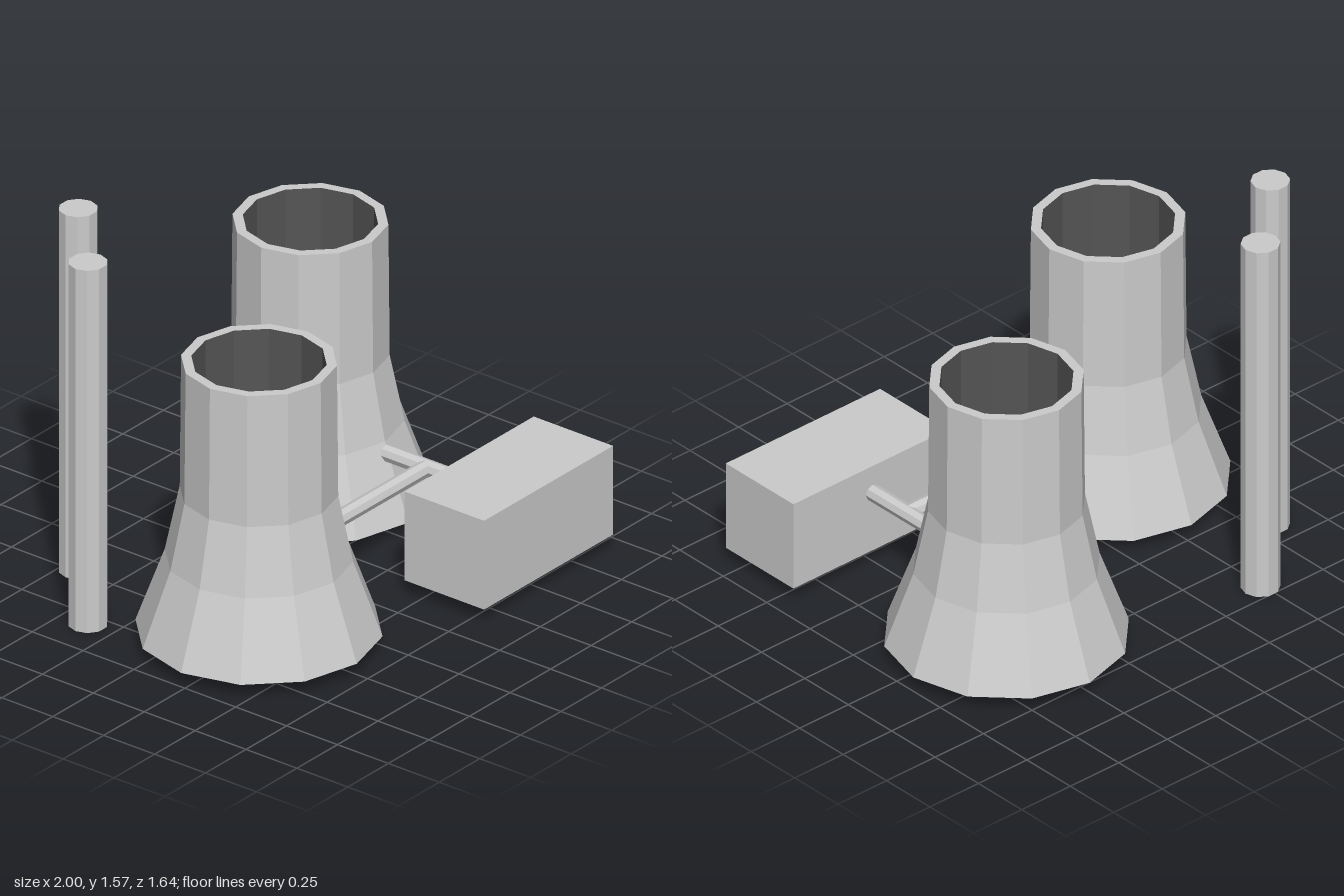
import * as THREE from 'three';

const grey = new THREE.MeshStandardMaterial({ color: 0xcccccc, flatShading: true, side: THREE.DoubleSide });
const dark = new THREE.MeshStandardMaterial({ color: 0x555555, flatShading: true, side: THREE.DoubleSide });

function part(name, geometry, material, x, y, z) {
  const mesh = new THREE.Mesh(geometry, material);
  mesh.name = name;
  mesh.position.set(x, y, z);
  return mesh;
}

function lathe(points, sides) {
  return new THREE.LatheGeometry(points.map(([r, y]) => new THREE.Vector2(r, y)), sides);
}

// Flared cooling tower, open below, with a dark well inside
function coolingTower(name, x, z) {
  const tower = new THREE.Group();
  tower.name = name;
  tower.position.set(x, 0, z);
  tower.add(
    part('towerShell', lathe([[0.48, 0.06], [0.366, 0.375], [0.308, 0.655], [0.303, 1.22], [0.263, 1.22]], 12), grey, 0, 0, 0),
    part('towerWell', lathe([[0, 0.375], [0.263, 0.375], [0.263, 1.22]], 12), dark, 0, 0, 0)
  );
  return tower;
}

// Tall ten-sided chimney, capped on top and open below
function chimney(name, x, z) {
  const mesh = part(name, lathe([[0.077, 0], [0.077, 1.57], [0, 1.57]], 10), grey, x, 0, z);
  mesh.rotation.y = Math.PI / 2;
  return mesh;
}

// Straight pipe between two points
function pipe(name, from, to) {
  const a = new THREE.Vector3(...from), b = new THREE.Vector3(...to);
  const mesh = part(name, new THREE.CylinderGeometry(0.034, 0.034, a.distanceTo(b), 8), grey, 0, 0, 0);
  mesh.position.copy(a).lerp(b, 0.5);
  mesh.quaternion.setFromUnitVectors(new THREE.Vector3(0, 1, 0), b.sub(a).normalize());
  return mesh;
}

// Plain building block without a floor
function building() {
  const geometry = new THREE.BoxGeometry(0.795, 0.385, 0.39);
  const index = Array.from(geometry.index.array);
  index.splice(18, 6); // drop the bottom face
  geometry.setIndex(index);
  return part('building', geometry, grey, 0.527, 0.257, 0.625);
}

export function createModel() {
  const model = new THREE.Group();
  model.name = 'powerPlant';
  model.add(
    coolingTower('rightTower', -0.52, 0.232),
    coolingTower('leftTower', 0.517, -0.342),
    chimney('outerChimney', -0.815, -0.373),
    chimney('innerChimney', -0.49, -0.68),
    pipe('crossPipe', [-0.165, 0.33, 0.23], [0.517, 0.33, 0.23]),
    pipe('feedPipe', [0.517, 0.33, 0.015], [0.517, 0.33, 0.44]),
    building()
  );
  return model;
}
